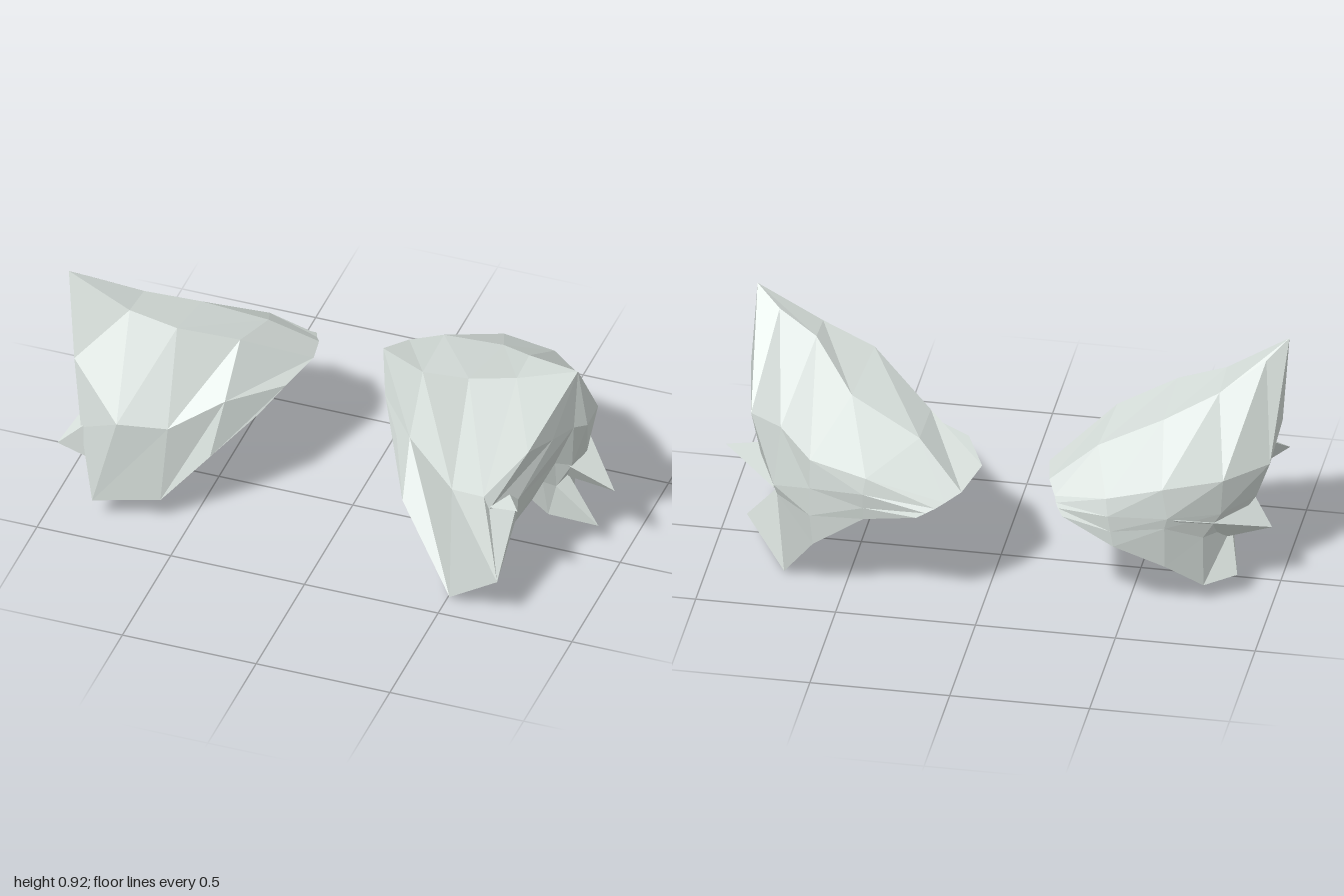
import * as THREE from 'three';

const paleMetal = new THREE.MeshStandardMaterial({ color: 0xd2dad6, flatShading: true, side: THREE.DoubleSide });
paleMetal.name = 'paleMetal';

// Skins neighbouring cross-sections (rows of [x, y, z] points) with faceted quads
function loft(name, rows) {
  const n = rows[0].length, index = [];
  for (let r = 0; r < rows.length - 1; r++) {
    for (let c = 0; c < n - 1; c++) {
      const a = r * n + c, b = a + n;
      index.push(a, b, a + 1, b, b + 1, a + 1);
    }
  }
  const geometry = new THREE.BufferGeometry();
  geometry.setAttribute('position', new THREE.Float32BufferAttribute(rows.flat(2), 3));
  geometry.setIndex(index);
  geometry.computeVertexNormals();
  const mesh = new THREE.Mesh(geometry, paleMetal);
  mesh.name = name;
  return mesh;
}

// Pointed shard: a tip joined to a triangular base
function spike(name, tip, a, b, c) {
  return loft(name, [[a, tip], [b, tip], [c, tip], [a, tip]]);
}

// One shoulder guard: sections run from the front hem over the crest to the rear hem,
// ordered from the neck end out to the peak. The outer side has a front wall and a rear
// lobe, both folding into a groove that runs from the peak down to the arch.
function guard(name, { sections, lobeEdge, groove, wallMiddle, archTop, spikes }) {
  const group = new THREE.Group();
  group.name = name;
  const outer = sections[4], peak = outer[2];
  const frontEdge = [peak, outer[1], outer[0], sections[3][0], sections[2][0]];
  const wallBack = [peak, groove[0], groove[1], groove[3], archTop];
  group.add(loft('shell', sections));
  group.add(loft('rearLobe', [outer.slice(3), [peak, ...lobeEdge], [peak, ...groove]]));
  group.add(loft('outerWall', [frontEdge, [peak, ...wallMiddle], wallBack]));
  group.add(spike('frontSpike', ...spikes[0]));
  group.add(spike('rearSpike', ...spikes[1]));
  return group;
}

export function createModel() {
  const model = new THREE.Group();
  model.name = 'shoulderGuards';

  // Larger guard on the model's left
  model.add(guard('leftGuard', {
    sections: [
      [[.2, .42, .1], [.11, .49, -.03], [.02, .51, -.26], [.07, .47, -.39], [.12, .45, -.44], [.15, .44, -.47], [.18, .43, -.49], [.21, .42, -.51]],
      [[.28, .27, .26], [.26, .45, .13], [.24, .6, -.06], [.24, .61, -.28], [.4, .53, -.46], [.41, .47, -.47], [.41, .41, -.46], [.41, .36, -.45]],
      [[.51, .01, .41], [.49, .42, .33], [.47, .74, .1], [.5, .7, -.18], [.61, .55, -.4], [.61, .44, -.41], [.61, .33, -.41], [.6, .21, -.4]],
      [[.72, .19, .5], [.62, .44, .36], [.66, .81, .13], [.66, .82, 0], [.74, .59, -.26], [.76, .37, -.29], [.75, .33, -.28], [.73, 0, -.25]],
      [[.64, .39, .36], [.76, .62, .29], [.9, .92, .16], [.81, .86, .1], [.87, .56, -.13], [.84, .38, -.1], [.77, .26, -.1], [.9, .1, -.05]],
    ],
    lobeEdge: [[.91, .64, .09], [.82, .38, 0], [.75, .25, -.03], [.72, .12, -.03]],
    groove: [[.87, .64, .12], [.76, .38, .01], [.71, .28, 0], [.67, .19, 0]],
    wallMiddle: [[.82, .63, .2], [.72, .4, .28], [.66, .2, .14], [.6, .11, .3]],
    archTop: [.64, .19, .17],
    spikes: [
      [[.76, .44, .4], [.64, .4, .36], [.71, .46, .34], [.72, .4, .28]],
      [[.99, .33, .03], [.79, .38, 0], [.76, .36, -.29], [.77, .25, -.1]],
    ],
  }));

  // Smaller guard on the model's right
  model.add(guard('rightGuard', {
    sections: [
      [[-.3, .42, .14], [-.25, .46, 0], [-.2, .49, -.15], [-.22, .48, -.26], [-.25, .45, -.32], [-.26, .44, -.35], [-.27, .43, -.37], [-.29, .41, -.39]],
      [[-.44, .28, .26], [-.41, .48, .19], [-.41, .64, .03], [-.38, .59, -.18], [-.44, .48, -.36], [-.45, .42, -.38], [-.46, .36, -.38], [-.47, .3, -.38]],
      [[-.6, .1, .33], [-.58, .4, .31], [-.61, .71, .13], [-.6, .67, -.1], [-.63, .5, -.3], [-.65, .39, -.31], [-.64, .35, -.31], [-.64, .19, -.3]],
      [[-.83, .09, .4], [-.75, .42, .37], [-.78, .76, .15], [-.78, .74, 0], [-.83, .5, -.2], [-.82, .36, -.19], [-.76, .27, -.21], [-.76, .07, -.2]],
      [[-.89, .36, .35], [-.94, .6, .28], [-1, .89, .17], [-.93, .83, .1], [-.97, .5, -.05], [-.92, .36, -.04], [-.84, .25, -.08], [-.87, .09, -.14]],
    ],
    lobeEdge: [[-.99, .6, .09], [-.9, .34, .02], [-.83, .22, 0], [-.8, .13, -.01]],
    groove: [[-.96, .6, .11], [-.85, .34, .04], [-.8, .24, .03], [-.77, .14, .02]],
    wallMiddle: [[-.95, .6, .19], [-.87, .36, .25], [-.76, .15, .12], [-.72, .11, .25]],
    archTop: [-.75, .14, .15],
    spikes: [
      [[-.96, .31, .4], [-.88, .37, .35], [-.9, .4, .28], [-.85, .24, .36]],
      [[-.98, .25, -.06], [-.9, .35, 0], [-.67, .38, -.3], [-.83, .22, -.1]],
    ],
  }));

  return model;
}
